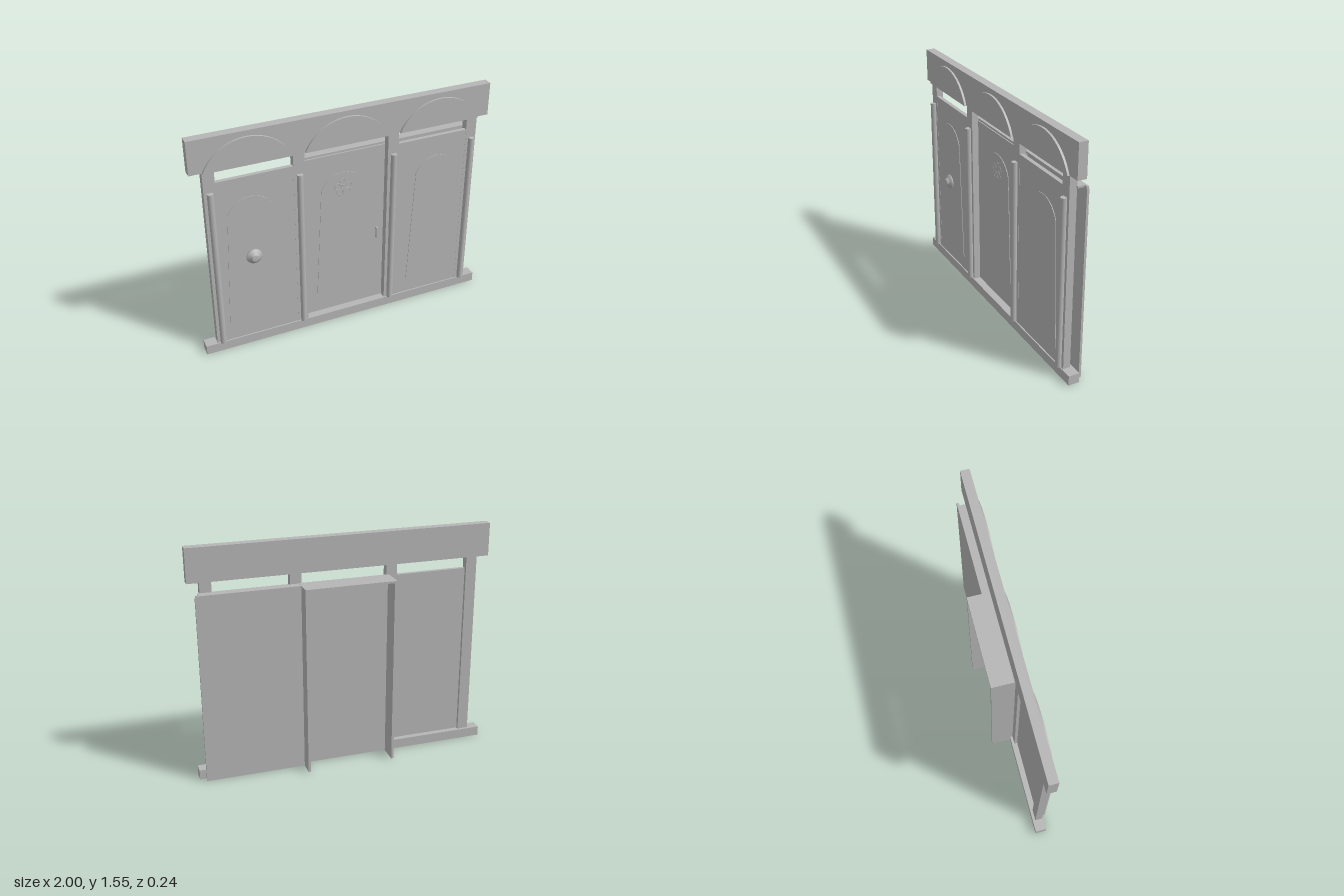
import * as THREE from 'three';

export function createModel() {
  const group = new THREE.Group();
  const grey = new THREE.MeshStandardMaterial({ color: 0xb5b5b5 });
  grey.name = 'plain grey';

  const add = (name, geometry) => {
    const mesh = new THREE.Mesh(geometry, grey);
    mesh.name = name;
    group.add(mesh);
    return mesh;
  };
  // Box given by its limits on each axis
  const box = (name, x0, x1, y0, y1, z0, z1) =>
    add(name, new THREE.BoxGeometry(x1 - x0, y1 - y0, z1 - z0))
      .position.set((x0 + x1) / 2, (y0 + y1) / 2, (z0 + z1) / 2);
  // Plate with straight sides and a circular-arc top
  const archPlate = (name, x, z, depth, foot, shoulder, yFoot, yShoulder, yTop) => {
    const h = yTop - yShoulder;
    const r = (shoulder * shoulder + h * h) / (2 * h);
    const a = Math.asin(Math.min(1, shoulder / r));
    const shape = new THREE.Shape();
    shape.moveTo(-foot, yFoot);
    shape.lineTo(foot, yFoot);
    if (yShoulder > yFoot) shape.lineTo(shoulder, yShoulder);
    shape.absarc(0, yTop - r, r, Math.PI / 2 - a, Math.PI / 2 + a, false);
    shape.closePath();
    const geo = new THREE.ExtrudeGeometry(shape, { depth, bevelEnabled: false, curveSegments: 24 });
    add(name, geo).position.set(x, 0, z);
  };

  // Sill and header beam
  box('sill', -1, 1, 0, 0.065, 0.012, 0.086);
  box('headerBeam', -1, 1, 1.33, 1.55, 0.02, 0.08);
  for (const x of [-0.64, 0, 0.64]) {
    archPlate('headerArch', x, 0.079, 0.015, 0.28, 0.28, 1.33, 1.33, 1.515);
  }

  // Posts with slim round columns in front
  for (const x of [-0.885, -0.32, 0.32, 0.885]) {
    box('post', x - 0.037, x + 0.037, 0.065, 1.33, 0.03, 0.078);
    add('column', new THREE.CylinderGeometry(0.02, 0.02, 1.12, 20)).position.set(x, 0.63, 0.09);
  }

  // Outer doors sit flush with the posts, the middle one is set back
  box('rightDoor', -0.85, -0.355, 0.065, 1.25, 0.05, 0.077);
  box('middleDoor', -0.287, 0.287, 0.01, 1.245, 0.005, 0.034);
  box('leftDoor', 0.355, 0.85, 0.065, 1.25, 0.05, 0.077);
  for (const [x, z] of [[-0.64, 0.077], [-0.01, 0.034], [0.64, 0.077]]) {
    archPlate('doorInset', x, z, 0.004, 0.19, 0.15, 0.16, 1.0, 1.11);
  }

  // Frame behind the middle door, open at the back and below
  for (const s of [-1, 1]) {
    box('frameSide', s * 0.293 - 0.008, s * 0.293 + 0.008, 0, 1.25, -0.12, 0.033);
  }
  box('frameTop', -0.301, 0.301, 1.25, 1.264, -0.12, 0.033);

  // Sliding panel behind the left door, with its cover strip
  box('backPanel', 0.3, 0.96, 0, 1.25, -0.025, -0.01);
  box('backPanelCap', 0.3, 0.955, 1.25, 1.262, -0.025, -0.01);
  box('coverStrip', 0.3, 0.935, 1.25, 1.262, -0.01, 0.033);

  // Round knob
  const profile = [[0, 0], [0.04, 0], [0.052, 0.008], [0.05, 0.016], [0.034, 0.024],
    [0.026, 0.034], [0.026, 0.04], [0.02, 0.043], [0, 0.043]]
    .map(([r, y]) => new THREE.Vector2(r, y));
  const knob = add('knob', new THREE.LatheGeometry(profile, 28));
  knob.rotation.x = Math.PI / 2;
  knob.position.set(-0.64, 0.68, 0.079);

  // Pull handle on the middle door
  box('handle', 0.225, 0.238, 0.56, 0.64, 0.045, 0.058);
  for (const y of [0.57, 0.63]) box('handleFoot', 0.227, 0.236, y - 0.006, y + 0.006, 0.033, 0.046);

  // Flat ring ornament on the middle door
  for (let i = 0; i < 5; i++) {
    const a = (i / 5) * Math.PI * 2 + Math.PI / 2;
    const ring = add('ornamentRing', new THREE.TorusGeometry(0.022, 0.002, 6, 20));
    ring.position.set(-0.01 + 0.038 * Math.cos(a), 1.0 + 0.038 * Math.sin(a), 0.038);
  }
  return group;
}
